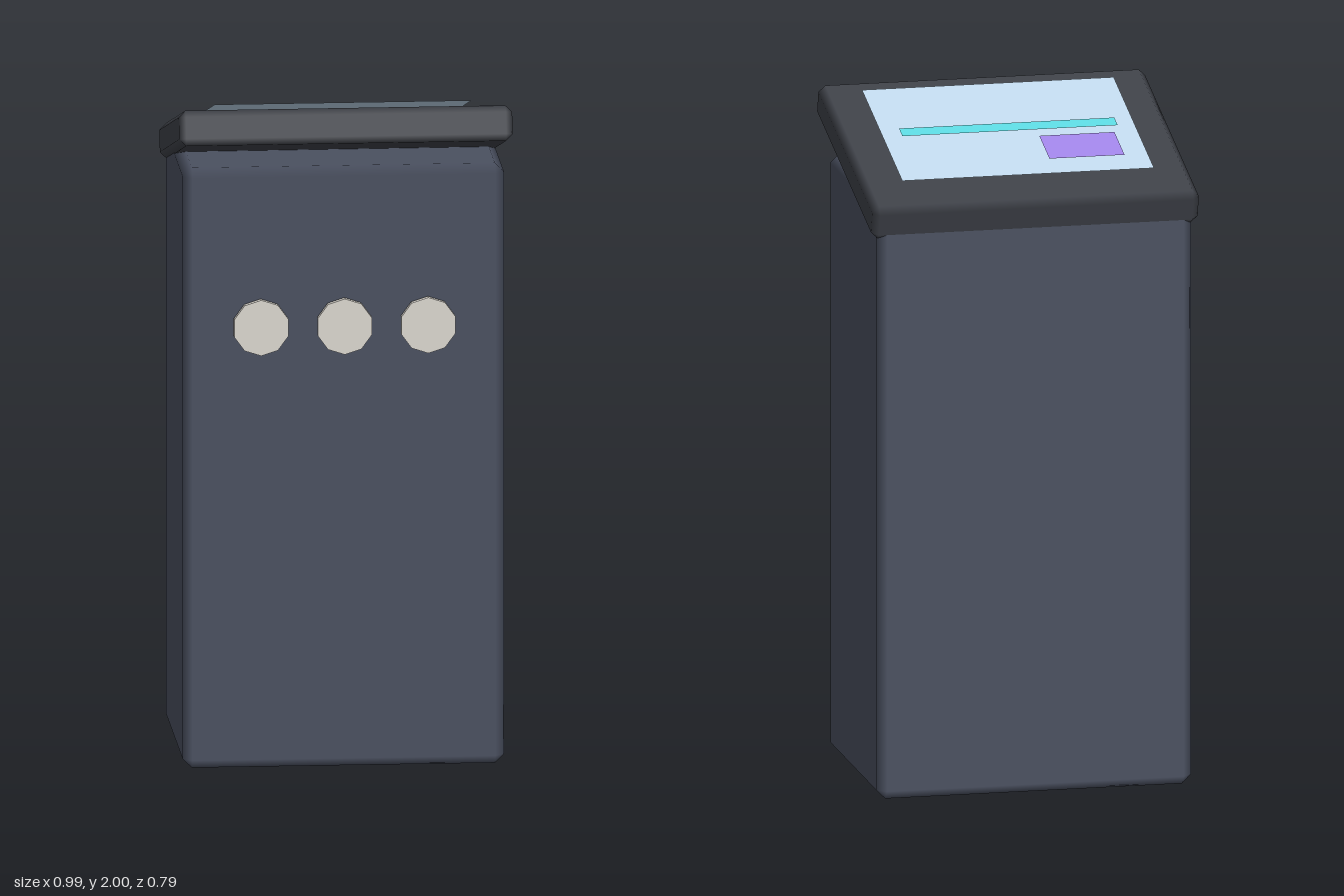
import * as THREE from 'three';
import { ConvexGeometry } from 'three/addons/geometries/ConvexGeometry.js';

// Box with chamfered edges; each corner keeps the normal of its main face, so bevels shade softly.
function bevelBox(w, h, d, r) {
  const half = [w / 2, h / 2, d / 2];
  const points = [];
  for (let axis = 0; axis < 3; axis++)
    for (const sx of [-1, 1])
      for (const sy of [-1, 1])
        for (const sz of [-1, 1]) {
          const p = [sx, sy, sz].map((s, i) => s * (half[i] - (i === axis ? 0 : r)));
          points.push(new THREE.Vector3(...p));
        }
  const geometry = new ConvexGeometry(points);
  const pos = geometry.attributes.position;
  const normal = geometry.attributes.normal;
  for (let i = 0; i < pos.count; i++) {
    const p = [pos.getX(i), pos.getY(i), pos.getZ(i)];
    normal.setXYZ(i, ...p.map((v, k) => (Math.abs(v) > half[k] - r / 2 ? Math.sign(v) : 0)));
  }
  return geometry;
}

function addMesh(parent, name, geometry, color, x, y, z, options = {}) {
  const mesh = new THREE.Mesh(geometry, new THREE.MeshStandardMaterial({ color, ...options }));
  mesh.name = name;
  mesh.position.set(x, y, z);
  parent.add(mesh);
  return mesh;
}

export function createModel() {
  const model = new THREE.Group();
  model.name = 'kiosk';

  // Upright cabinet
  addMesh(model, 'cabinet', bevelBox(0.95, 1.81, 0.68, 0.027), 0x4a5060, 0, 0.905, -0.035);

  // Row of round buttons standing just off the front
  const disc = new THREE.CylinderGeometry(0.084, 0.084, 0.02, 10).rotateX(Math.PI / 2);
  for (const x of [-0.247, 0, 0.247])
    addMesh(model, 'button', disc, 0xdcd8d0, x, 1.335, 0.325, { flatShading: true });

  // Tilted console, higher at the front
  const top = new THREE.Group();
  top.name = 'console';
  top.position.set(0, 1.85, 0);
  top.rotation.x = -0.262;
  model.add(top);
  addMesh(top, 'consoleSlab', bevelBox(0.986, 0.105, 0.8, 0.02), 0x3e4148, 0, 0, 0);

  // Thin display sheets floating above the slab
  const sheet = (name, w, d, color, x, y, z) =>
    addMesh(top, name, new THREE.PlaneGeometry(w, d).rotateX(-Math.PI / 2), color, x, y, z,
      { side: THREE.DoubleSide });
  sheet('screen', 0.76, 0.57, 0xc0d8ec, 0, 0.0725, 0.0194);
  sheet('screenPanel', 0.227, 0.143, 0xa085e8, -0.192, 0.083, -0.123);
  sheet('screenBar', 0.65, 0.048, 0x5cd8e0, 0, 0.081, 0.017);

  return model;
}
